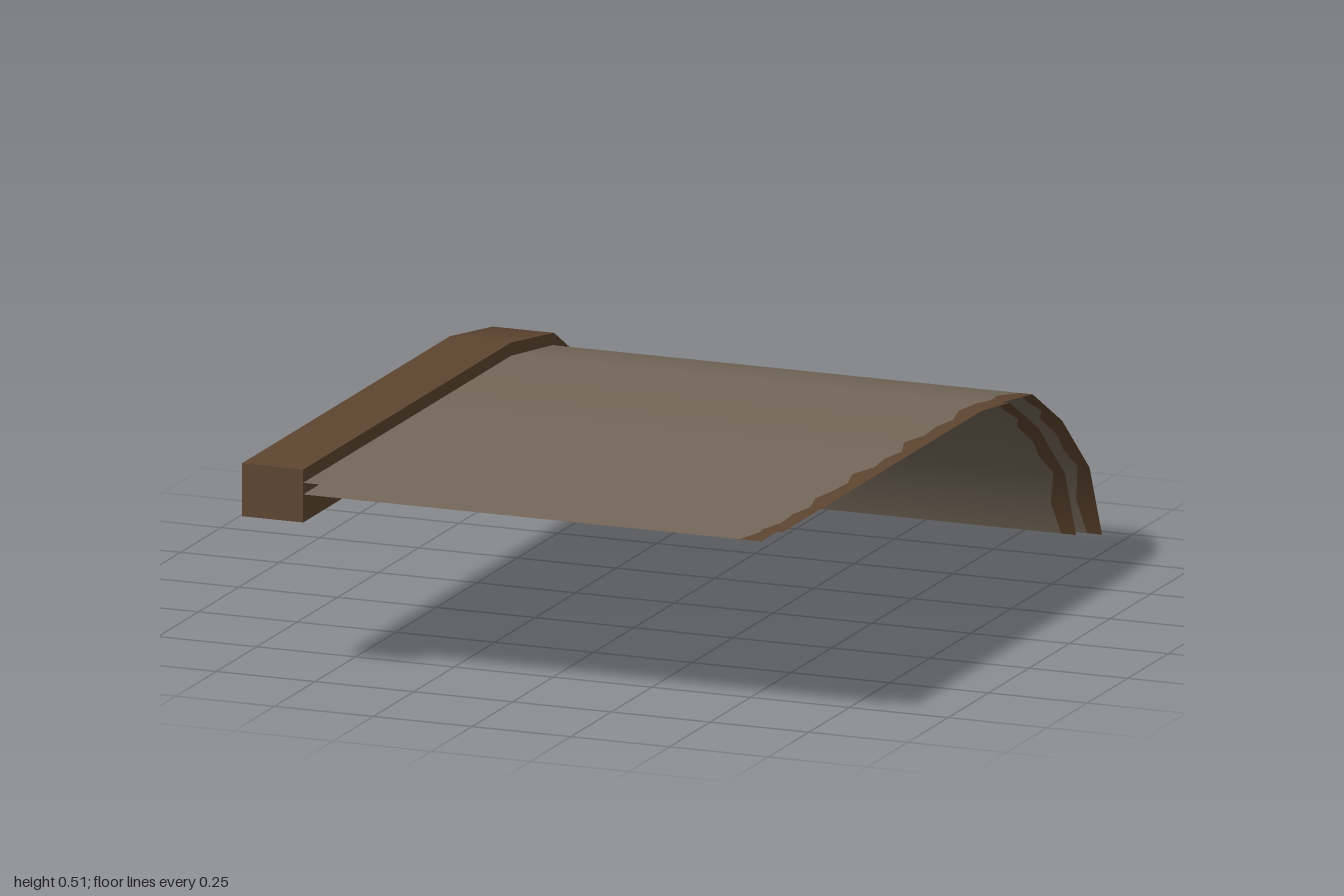
import * as THREE from 'three';
import { toCreasedNormals } from 'three/addons/utils/BufferGeometryUtils.js';

// Beam profile as [z, y], from the front end to the foot at the back
const OUTER = [[1, 0.51], [-0.285, 0.51], [-0.55, 0.47], [-0.735, 0.36], [-0.912, 0.2], [-1, 0]];
const INNER = [[1, 0.382], [-0.285, 0.382], [-0.515, 0.36], [-0.69, 0.26], [-0.835, 0.125], [-0.882, 0]];
const BEAM_LEFT = -0.685, BEAM_RIGHT = -0.53;

// Widths of the worn brown border, repeated along the sheet edge
const WEAR = [0.056, 0.036, 0.042, 0.03, 0.05, 0.038, 0.034, 0.055, 0.032, 0.04, 0.028];

// Profile lying between the outer (t = 0) and inner (t = 1) faces of the beam
const between = (t) => OUTER.map(([z, y], i) =>
  new THREE.Vector2(z + (INNER[i][0] - z) * t, y + (INNER[i][1] - y) * t));

// Length-weighted smooth normals at the profile corners, as (z, y)
function cornerNormals(points) {
  const normals = points.map(() => new THREE.Vector2());
  for (let i = 0; i < points.length - 1; i++) {
    const d = points[i + 1].clone().sub(points[i]);
    const n = new THREE.Vector2(d.y, -d.x);
    normals[i].add(n);
    normals[i + 1].add(n);
  }
  return normals.map((n) => n.normalize());
}

// Curved sheet with a ragged border on its free edge, and optionally near the foot by the beam
function createSheet(name, t, rightX, wornFoot, materials) {
  const profile = between(t);
  const normals = cornerNormals(profile);
  const rows = [];
  for (let i = 0; i < profile.length - 1; i++) {
    const steps = Math.max(2, Math.round(profile[i].distanceTo(profile[i + 1]) / 0.08));
    for (let k = i === 0 ? 0 : 1; k <= steps; k++) {
      rows.push({
        p: profile[i].clone().lerp(profile[i + 1], k / steps),
        n: normals[i].clone().lerp(normals[i + 1], k / steps).normalize(),
      });
    }
  }
  const position = [], normal = [];
  rows.forEach(({ p, n }, r) => {
    const wear = WEAR[r % WEAR.length];
    const foot = wornFoot && p.y < 0.2 ? 0.008 + (r % 2) * 0.01 : 0;
    for (const x of [BEAM_RIGHT, BEAM_RIGHT + foot, rightX - wear, rightX]) {
      position.push(x, p.y, p.x);
      normal.push(0, n.y, n.x);
    }
  });
  const geometry = new THREE.BufferGeometry();
  const index = [];
  // Column strips: worn foot, plain sheet, worn free edge
  [1, 0, 1].forEach((material, c) => {
    const start = index.length;
    for (let r = 0; r < rows.length - 1; r++) {
      const a = r * 4 + c, b = a + 1, d = a + 4, e = a + 5;
      index.push(a, b, e, a, e, d);
    }
    geometry.addGroup(start, index.length - start, material);
  });
  geometry.setAttribute('position', new THREE.Float32BufferAttribute(position, 3));
  geometry.setAttribute('normal', new THREE.Float32BufferAttribute(normal, 3));
  geometry.setIndex(index);
  const mesh = new THREE.Mesh(geometry, materials);
  mesh.name = name;
  return mesh;
}

// Solid curved beam along the right side
function createBeam(material) {
  const outline = [...OUTER, ...[...INNER].reverse()].map(([z, y]) => new THREE.Vector2(-z, y));
  const geometry = new THREE.ExtrudeGeometry(new THREE.Shape(outline), {
    depth: BEAM_RIGHT - BEAM_LEFT, bevelEnabled: false,
  });
  geometry.rotateY(Math.PI / 2).translate(BEAM_LEFT, 0, 0);
  const mesh = new THREE.Mesh(toCreasedNormals(geometry, 0.6), material);
  mesh.name = 'edgeBeam';
  return mesh;
}

export function createModel() {
  const cloth = new THREE.MeshStandardMaterial({ color: 0x74685a, side: THREE.DoubleSide });
  cloth.name = 'greyBrownSheet';
  const wood = new THREE.MeshStandardMaterial({ color: 0x5f4630, side: THREE.DoubleSide });
  wood.name = 'brownWood';

  const group = new THREE.Group();
  group.name = 'curvedRoofSection';
  group.add(
    createBeam(wood),
    createSheet('upperSheet', 0.25, 0.685, false, [cloth, wood]),
    createSheet('lowerSheet', 0.47, 0.63, true, [cloth, wood]),
  );
  return group;
}
